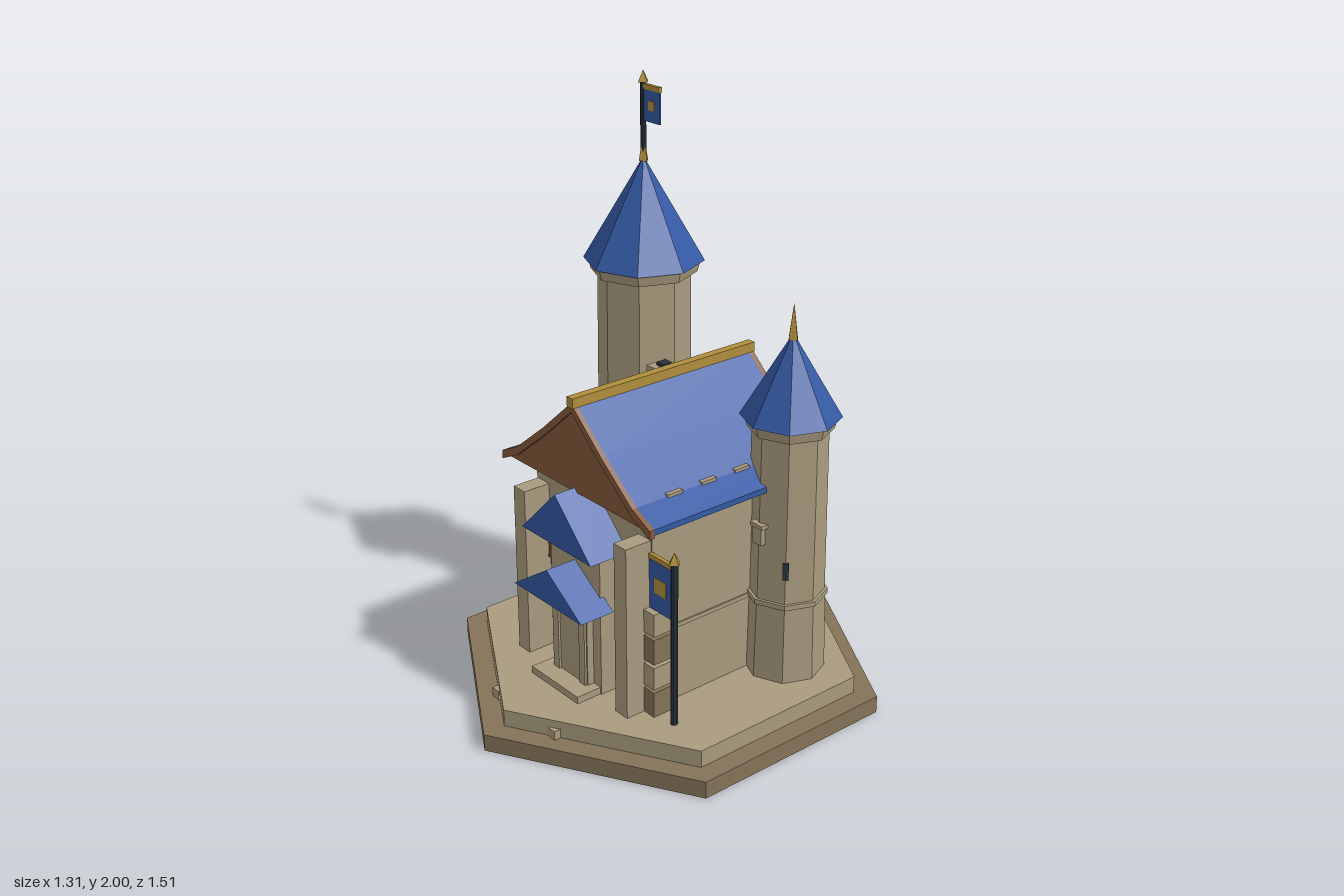
import * as THREE from 'three';

const mat = (name, color) => {
  const m = new THREE.MeshStandardMaterial({ color, flatShading: true });
  m.name = name;
  return m;
};

export function createModel() {
  const stone = mat('stone', 0xa99b7e), darkStone = mat('dark stone', 0x857359);
  const blue = mat('blue tile', 0x3459a4), wood = mat('wood', 0x85593a);
  const gold = mat('gold', 0xb08f3c), iron = mat('dark iron', 0x2b343c);
  const model = new THREE.Group();
  model.name = 'castle';

  const add = (name, geo, m, x = 0, y = 0, z = 0, parent = model) => {
    const mesh = new THREE.Mesh(geo, m);
    mesh.name = name;
    mesh.position.set(x, y, z);
    parent.add(mesh);
    return mesh;
  };
  // Box given by its lower and upper limits on each axis
  const box = (name, m, x0, x1, y0, y1, z0, z1, parent) =>
    add(name, new THREE.BoxGeometry(x1 - x0, y1 - y0, z1 - z0), m,
      (x0 + x1) / 2, (y0 + y1) / 2, (z0 + z1) / 2, parent);
  // Many-sided drum or cone standing between two heights
  const drum = (name, m, x, z, y0, y1, rBottom, rTop, sides, parent) =>
    add(name, new THREE.CylinderGeometry(rTop, rBottom, y1 - y0, sides), m, x, (y0 + y1) / 2, z, parent);
  // Outline in x and y, drawn out along z
  const prism = (name, m, points, z0, z1) =>
    add(name, new THREE.ExtrudeGeometry(new THREE.Shape(points.map(p => new THREE.Vector2(...p))),
      { depth: z1 - z0, bevelEnabled: false }), m, 0, 0, z0);

  // Hexagonal base with two small blocks on the front edges
  drum('baseLower', darkStone, 0, 0, 0, 0.06, 0.755, 0.755, 6);
  drum('baseUpper', stone, 0, 0, 0.06, 0.12, 0.675, 0.675, 6);
  for (const s of [-1, 1])
    box('baseBlock', stone, s * 0.155 - 0.017, s * 0.155 + 0.017, 0.06, 0.092, 0.57, 0.6);

  // Hall walls
  box('hallWalls', stone, -0.3, 0.3, 0.12, 0.78, -0.3, 0.3);
  box('stringCourse', stone, -0.305, 0.305, 0.385, 0.4, -0.305, 0.305);
  box('cornice', stone, -0.322, 0.322, 0.77, 0.8, -0.315, 0.315);

  // Battlements under the roof
  for (const t of [-0.21, -0.07, 0.07, 0.21]) {
    for (const s of [-1, 1]) {
      box('sideMerlon', stone, s * 0.2925 - 0.0135, s * 0.2925 + 0.0135, 0.8, 0.87, t - 0.03, t + 0.03);
      box('endMerlon', stone, t - 0.03, t + 0.03, 0.8, 0.87, s * 0.293 - 0.013, s * 0.293 + 0.013);
    }
  }

  // Corner stones in alternating colours
  for (const sx of [-1, 1]) for (const sz of [-1, 1]) for (let i = 0; i < 4; i++) {
    const h = i % 2 ? 0.04 : 0.045, y = 0.165 + i * 0.0965;
    box('cornerStone', i % 2 ? stone : darkStone, sx * 0.3 - 0.045, sx * 0.3 + 0.045,
      y - h, y + h, sz * 0.285 - 0.045, sz * 0.285 + 0.045);
  }

  // Flared main roof as an open shell, with wooden ends and a gold ridge
  const half = [[0, 1.115], [0.15, 0.982], [0.3, 0.862], [0.385, 0.82]];
  const outline = (drop) => {
    const right = half.map(([x, y]) => [x, y - drop]);
    return [...right.slice(1).reverse(), [0, 1.115 - drop], ...right.slice(1).map(([x, y]) => [-x, y])];
  };
  const shell = (drop) => [...outline(0), ...outline(drop).reverse()];
  prism('mainRoof', blue, shell(0.02), -0.36, 0.36);
  for (const s of [-1, 1]) {
    const a = s * 0.36, b = s * 0.378, c = s * 0.345;
    prism('bargeBoard', wood, shell(0.03), Math.min(a, b), Math.max(a, b));
    prism('gablePanel', wood, [...outline(0.008).slice(1, 6), [-0.36, 0.808], [0.36, 0.808]],
      Math.min(c, s * 0.37), Math.max(c, s * 0.37));
  }
  box('roofRidge', gold, -0.015, 0.015, 1.1, 1.135, -0.382, 0.382);

  // Chimney
  box('chimney', stone, -0.232, -0.162, 0.85, 1.02, -0.2, -0.13);
  box('chimneyCap', stone, -0.24, -0.155, 1.018, 1.04, -0.208, -0.123);
  box('chimneyFlue', iron, -0.216, -0.18, 1.035, 1.052, -0.184, -0.148);

  // Front bay, porch and step
  box('frontBay', stone, -0.13, 0.13, 0.12, 0.66, 0.29, 0.375);
  box('porch', stone, -0.09, 0.09, 0.12, 0.46, 0.3, 0.4);
  box('doorStep', stone, -0.125, 0.125, 0.12, 0.145, 0.3, 0.47);
  prism('bayRoof', blue, [[-0.182, 0.64], [0.182, 0.64], [0, 0.822]], 0.29, 0.45);
  prism('porchRoof', blue, [[-0.18, 0.445], [0.18, 0.445], [0, 0.567]], 0.36, 0.49);
  for (const s of [-1, 1]) {
    box('doorJamb', stone, s * 0.07 - 0.015, s * 0.07 + 0.015, 0.12, 0.445, 0.39, 0.408);
    box('buttress', stone, s * 0.265 - 0.03, s * 0.265 + 0.03, 0.12, 0.728, 0.28, 0.4);
    // Framed windows
    const x = s * 0.182;
    box('windowPane', blue, x - 0.042, x + 0.042, 0.467, 0.562, 0.3, 0.306);
    for (const y of [0.467, 0.515, 0.562])
      box('windowBar', wood, x - 0.047, x + 0.047, y - 0.005, y + 0.005, 0.3, 0.314);
    for (const d of [-0.042, 0.042])
      box('windowPost', wood, x + d - 0.005, x + d + 0.005, 0.465, 0.565, 0.3, 0.312);
  }

  // Eight-sided tower; slitSide is the side of its diagonal arrow slit
  const tower = (name, x, z, o) => {
    const g = new THREE.Group();
    g.name = name;
    model.add(g);
    drum('lowerShaft', stone, x, z, 0.12, o.band, o.r + 0.01, o.r + 0.004, 8, g);
    drum('band', stone, x, z, o.band, o.band + 0.018, o.r + 0.012, o.r + 0.012, 8, g);
    drum('upperShaft', stone, x, z, o.band, o.eave - 0.03, o.r + 0.002, o.r - 0.003, 8, g);
    drum('collar', stone, x, z, o.eave - 0.04, o.eave, o.roof - 0.025, o.roof - 0.015, 8, g);
    drum('roof', blue, x, z, o.eave, o.top, o.roof, 0, 8, g);
    const d = (o.r - 0.002) * Math.SQRT1_2;
    const slit = add('arrowSlit', new THREE.BoxGeometry(0.02, 0.06, 0.015), iron,
      x + o.slitSide * d, o.slitY, z + d, g);
    slit.rotation.y = o.slitSide * Math.PI / 4;
    // Hooded niche on the front
    const f = z + o.r;
    box('niche', stone, x - 0.02, x + 0.02, o.nicheY, o.nicheY + 0.07, f - 0.03, f + 0.01, g);
    box('nicheHood', stone, x - 0.028, x + 0.028, o.nicheY + 0.06, o.nicheY + 0.074, f - 0.03, f + 0.015, g);
  };
  tower('tallTower', -0.403, -0.247, { r: 0.164, band: 0.5, eave: 1.35, top: 1.71, roof: 0.209,
    slitSide: -1, slitY: 0.692, nicheY: 0.815 });
  tower('shortTower', 0.365, -0.22, { r: 0.127, band: 0.395, eave: 1.03, top: 1.31, roof: 0.165,
    slitSide: 1, slitY: 0.535, nicheY: 0.615 });
  drum('shortTowerFinial', gold, 0.365, -0.22, 1.29, 1.41, 0.02, 0, 4);

  // Flagpoles with banners hanging to one side
  const banner = (name, x, z, y0, y1, r, flag) => {
    const g = new THREE.Group();
    g.name = name;
    model.add(g);
    drum('pole', iron, x, z, y0, y1 - 0.03, r, r, 8, g);
    drum('poleTip', gold, x, z, y1 - 0.04, y1, 0.022, 0, 4, g);
    const [fx0, fx1, fy0, fy1, e] = flag;
    const cx = (fx0 + fx1) / 2, cy = (fy0 + fy1) / 2 - 0.005;
    box('flag', blue, fx0, fx1, fy0, fy1, z - 0.004, z + 0.004, g);
    box('flagBar', gold, fx0, fx1, fy1 - 0.014, fy1 + 0.003, z - 0.007, z + 0.007, g);
    box('flagPatch', gold, cx - e, cx + e, cy - e, cy + e, z - 0.006, z + 0.006, g);
  };
  banner('towerFlag', -0.403, -0.247, 1.68, 2.0, 0.01, [-0.395, -0.315, 1.832, 1.953, 0.016]);
  drum('tallTowerFinial', gold, -0.403, -0.247, 1.695, 1.765, 0.02, 0.006, 4);
  banner('groundBanner', 0.412, 0.303, 0.12, 0.735, 0.012, [0.295, 0.402, 0.495, 0.685, 0.027]);

  return model;
}
